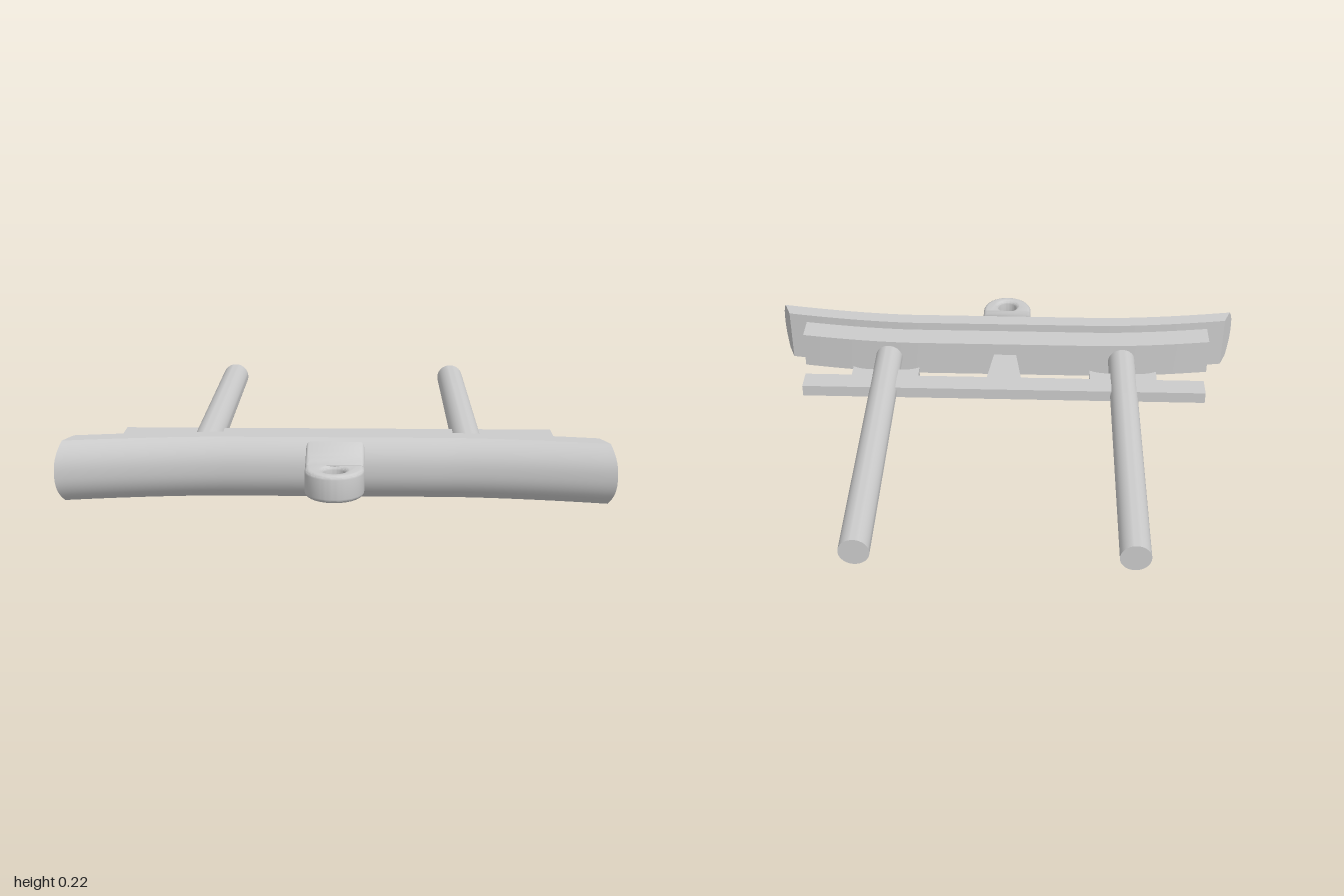
import * as THREE from 'three';
import { toCreasedNormals } from 'three/addons/utils/BufferGeometryUtils.js';

const MID_Y = 0.113;
const material = new THREE.MeshStandardMaterial({ color: 0xcccccc });

const shapeOf = (points) => new THREE.Shape(points.map(([a, b]) => new THREE.Vector2(a, b)));

// Forward sweep of the bar: flat in the middle, curving towards +z at the ends
const sweep = (x) => 0.068 * Math.pow(Math.max(0, Math.abs(x) - 0.4) / 0.6, 1.6);

// Extrude a (z, y) profile along x, centred on x = 0
function alongX(shape, length, options = {}) {
  const geo = new THREE.ExtrudeGeometry(shape, { depth: length, bevelEnabled: false, ...options });
  return geo.translate(0, 0, -length / 2).rotateY(-Math.PI / 2);
}

// Extrude an (x, z) outline along y, centred on y = 0
function alongY(shape, height, options = {}) {
  const geo = new THREE.ExtrudeGeometry(shape, { depth: height, bevelEnabled: false, curveSegments: 24, ...options });
  return geo.translate(0, 0, -height / 2).rotateX(Math.PI / 2);
}

// Bend a straight bar along the sweep; xScale(z) slants its ends
function bend(geo, xScale = () => 1) {
  const p = geo.attributes.position;
  for (let i = 0; i < p.count; i++) {
    const x = p.getX(i) * xScale(p.getZ(i));
    p.setX(i, x);
    p.setZ(i, p.getZ(i) + sweep(x));
  }
  return geo;
}

export function createModel() {
  const model = new THREE.Group();
  const add = (name, geo, x = 0, y = MID_Y, z = 0) => {
    const mesh = new THREE.Mesh(toCreasedNormals(geo, 0.6), material);
    mesh.name = name;
    mesh.position.set(x, y, z);
    model.add(mesh);
    return mesh;
  };

  // Front bar: flat back, bulged front, slanted ends
  const profile = [[0.5, 0.112], [0.5, -0.112]];
  for (let i = 0; i <= 16; i++) {
    const t = -1 + i / 8;
    profile.push([0.565 + 0.05 * (1 - Math.pow(Math.abs(t), 2.4)), 0.112 * t]);
  }
  add('frontBar', bend(alongX(shapeOf(profile), 2, { steps: 60 }), (z) => 0.95 + 0.05 * (z - 0.5) / 0.115));

  // Backing block behind the bar
  const block = shapeOf([[0.395, 0.077], [0.395, -0.077], [0.51, -0.077], [0.51, 0.077]]);
  add('backingBlock', bend(alongX(block, 1.75, { steps: 50 })));

  // Towing lug: flared neck and rounded eye with a hole
  const bevel = { bevelEnabled: true, bevelThickness: 0.015, bevelSize: 0.015, bevelOffset: -0.015, bevelSegments: 4 };
  const flare = [[0.55, 0.103], [0.585, 0.098], [0.605, 0.087], [0.625, 0.076], [0.65, 0.065], [0.68, 0.056], [0.71, 0.051]];
  const neck = shapeOf([...flare, ...flare.map(([z, y]) => [z, -y]).reverse()]);
  add('lugNeck', alongX(neck, 0.18, bevel));

  const eye = new THREE.Shape();
  eye.moveTo(-0.105, 0.66);
  eye.lineTo(0.105, 0.66);
  eye.lineTo(0.105, 0.73);
  eye.absarc(0, 0.73, 0.105, 0, Math.PI, false);
  eye.closePath();
  const hole = new THREE.Path();
  hole.absarc(0, 0.755, 0.04, 0, Math.PI * 2, true);
  eye.holes.push(hole);
  add('lugEye', alongY(eye, 0.07, bevel));

  // Cross strip with the tapered centre tooth
  add('crossStrip', new THREE.BoxGeometry(1.67, 0.048, 0.09), 0, MID_Y, 0.18);
  add('centreTooth', alongY(shapeOf([[-0.072, 0.22], [0.072, 0.22], [0.047, 0.4], [-0.047, 0.4]]), 0.048));

  for (const side of [-1, 1]) {
    const label = side > 0 ? 'left' : 'right';

    // Rod running back from the block
    const rod = new THREE.CylinderGeometry(0.057, 0.057, 1.265, 40).rotateX(Math.PI / 2);
    add(label + 'Rod', rod, side * 0.5, MID_Y, -0.2125);

    // Saddle tab on the strip, scooped on both sides of the rod
    const tab = new THREE.Shape();
    tab.moveTo(-0.14, 0.22);
    tab.lineTo(0.14, 0.22);
    tab.lineTo(0.14, 0.29);
    tab.quadraticCurveTo(0.1, 0.267, 0.05, 0.272);
    tab.lineTo(-0.05, 0.272);
    tab.quadraticCurveTo(-0.1, 0.267, -0.14, 0.29);
    tab.closePath();
    add(label + 'SaddleTab', alongY(tab, 0.044), side * 0.5);
  }
  return model;
}
